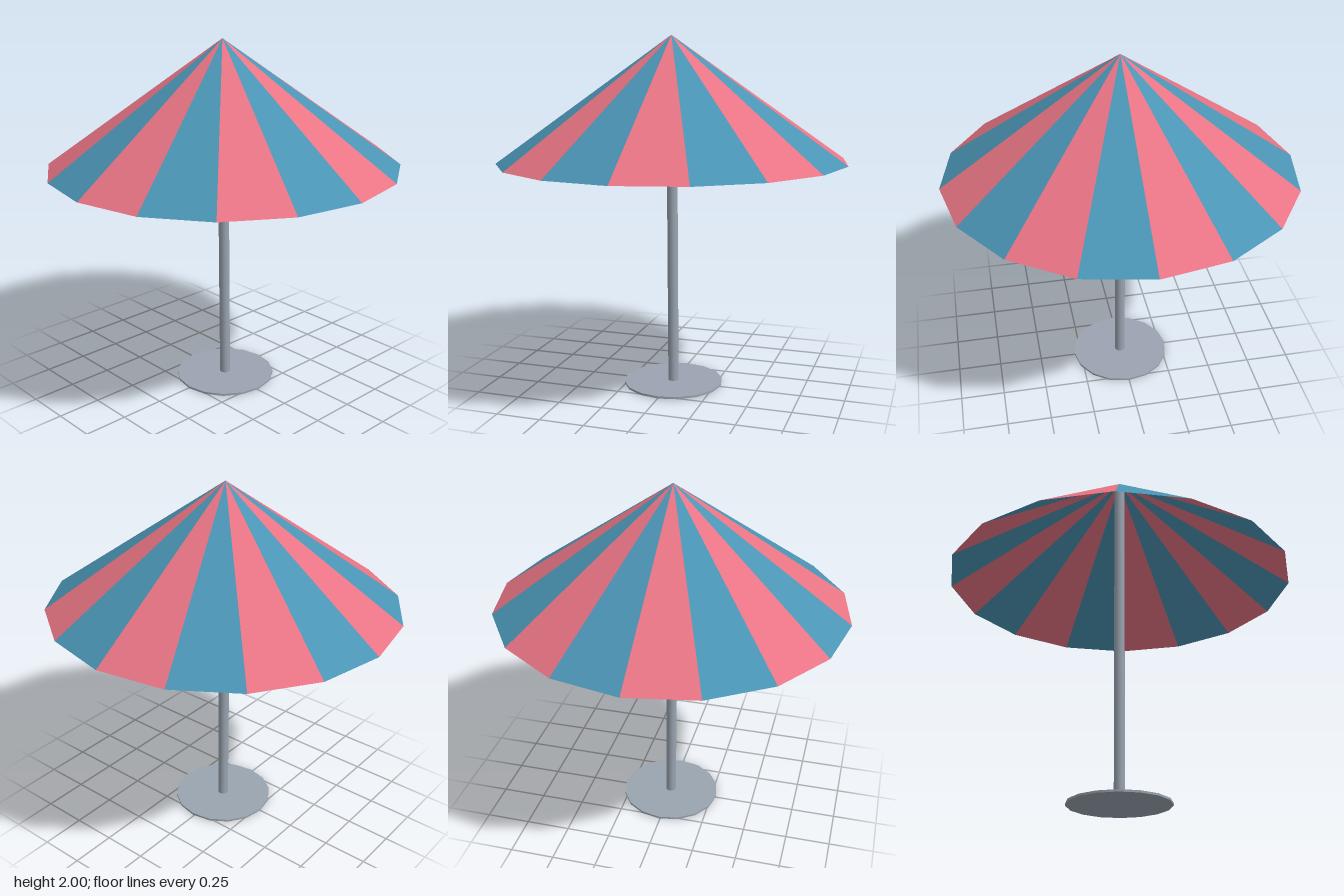
import * as THREE from 'three';

export function createModel() {
  const model = new THREE.Group();
  const RED = 0xe87484, BLUE = 0x4a94b4, GREY = 0x9aa4b0;
  const SIDES = 16, RADIUS = 0.98, RIM_Y = 1.305, APEX_Y = 2;

  const mat = (color, side = THREE.FrontSide, flatShading = false) =>
    new THREE.MeshStandardMaterial({ color, side, flatShading });

  const add = (parent, name, geometry, material, y = 0) => {
    const mesh = new THREE.Mesh(geometry, material);
    mesh.name = name;
    mesh.position.y = y;
    parent.add(mesh);
    return mesh;
  };

  // The whole parasol leans very slightly, as if set on uneven ground
  const parasol = new THREE.Group();
  parasol.name = 'parasol';
  parasol.position.set(0.005, 0, 0.005);
  parasol.rotation.set(-0.003, 0, 0.0075);
  model.add(parasol);

  // Thin round foot plate
  add(parasol, 'base', new THREE.CylinderGeometry(0.285, 0.285, 0.012, SIDES), mat(GREY), 0.012);

  // Straight pole, running up into the canopy
  const poleHeight = 1.94;
  add(parasol, 'pole', new THREE.CylinderGeometry(0.03, 0.03, poleHeight, SIDES), mat(GREY),
    0.012 + poleHeight / 2);

  // Open canopy of flat triangular panels in alternating colours
  const canopy = new THREE.Group();
  canopy.name = 'canopy';
  parasol.add(canopy);
  const fabrics = [RED, BLUE].map((c) => mat(c, THREE.DoubleSide, true));
  const step = (Math.PI * 2) / SIDES;
  const height = APEX_Y - RIM_Y;
  for (let i = 0; i < SIDES; i++) {
    const panel = new THREE.ConeGeometry(RADIUS, height, 1, 1, true, i * step, step);
    add(canopy, `canopyPanel${i + 1}`, panel, fabrics[i % 2], RIM_Y + height / 2);
  }

  return model;
}
